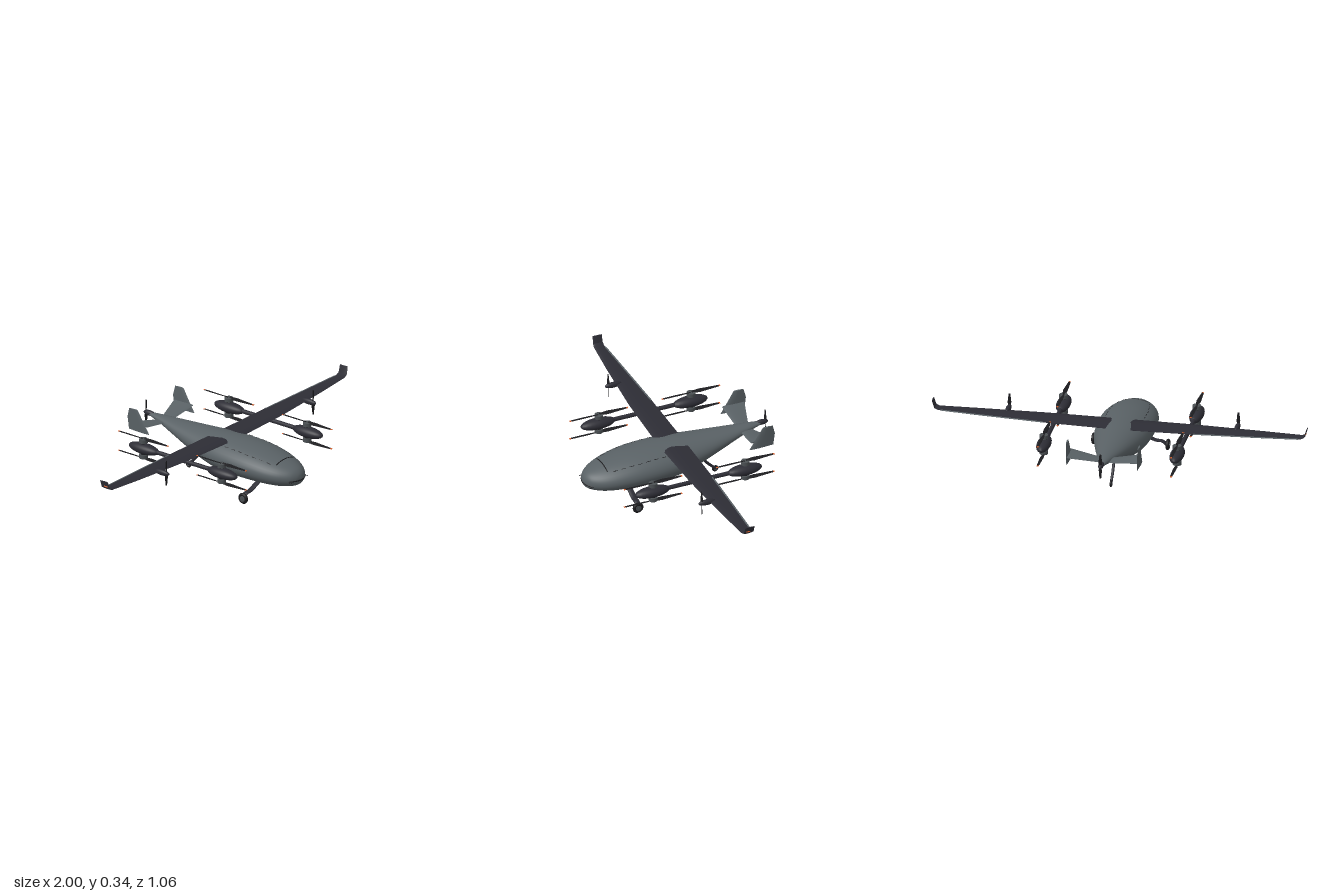
import * as THREE from 'three';
import { toCreasedNormals } from 'three/addons/utils/BufferGeometryUtils.js';

const V = (x, y, z) => new THREE.Vector3(x, y, z);
const mat = (name, color) => {
  const m = new THREE.MeshStandardMaterial({ color });
  m.name = name;
  return m;
};

// Closed skin over equal-sized rings of points, always facing outward
function loft(rings, crease) {
  const n = rings[0].length, pos = [], idx = [];
  rings.forEach((r) => r.forEach((p) => pos.push(p.x, p.y, p.z)));
  for (let i = 0; i < rings.length - 1; i++) {
    for (let j = 0; j < n; j++) {
      const a = i * n + j, b = i * n + ((j + 1) % n);
      idx.push(a, b, a + n, b, b + n, a + n);
    }
  }
  const last = (rings.length - 1) * n;
  for (let j = 1; j < n - 1; j++) idx.push(0, j + 1, j, last, last + j, last + j + 1);
  let vol = 0;
  const at = (i) => V(pos[i * 3], pos[i * 3 + 1], pos[i * 3 + 2]);
  for (let i = 0; i < idx.length; i += 3) vol += at(idx[i]).dot(at(idx[i + 1]).cross(at(idx[i + 2])));
  if (vol < 0) idx.reverse();
  const g = new THREE.BufferGeometry();
  g.setAttribute('position', new THREE.Float32BufferAttribute(pos, 3));
  g.setIndex(idx);
  g.computeVertexNormals();
  return crease ? toCreasedNormals(g, crease) : g;
}

// Aerofoil ring between leading and trailing edge, thickened along normal
const FOIL = [[0, 0], [0.06, 0.55], [0.2, 0.9], [0.4, 1], [0.7, 0.6], [1, 0.08], [1, -0.08], [0.7, -0.6], [0.4, -1], [0.2, -0.9], [0.06, -0.55]];
const foil = (le, te, normal, th) =>
  FOIL.map(([u, t]) => le.clone().lerp(te, u).addScaledVector(normal, t * th));

// Fuselage stations: z, top, bottom, half width
const STATIONS = [
  [0.528, 0.146, 0.134, 0.008], [0.52, 0.168, 0.112, 0.035], [0.5, 0.188, 0.097, 0.066], [0.45, 0.21, 0.084, 0.104],
  [0.38, 0.23, 0.077, 0.132], [0.28, 0.25, 0.073, 0.15], [0.18, 0.26, 0.072, 0.154], [0.08, 0.264, 0.074, 0.149],
  [0, 0.264, 0.081, 0.138], [-0.1, 0.26, 0.105, 0.115], [-0.2, 0.256, 0.139, 0.09], [-0.3, 0.253, 0.174, 0.063],
  [-0.4, 0.251, 0.207, 0.035], [-0.49, 0.247, 0.23, 0.012],
];
function sampleBody(z) {
  const i = Math.max(0, STATIONS.findIndex((s) => s[0] <= z) - 1);
  const a = STATIONS[i], b = STATIONS[i + 1], t = (z - a[0]) / (b[0] - a[0]);
  return a.map((v, k) => v + (b[k] - v) * t);
}
function bodyY(x, z, side = 1) {
  const [, top, bot, hw] = sampleBody(z);
  return (top + bot) / 2 + side * ((top - bot) / 2) * Math.sqrt(Math.max(0, 1 - (x / hw) ** 2));
}

export function createModel() {
  const model = new THREE.Group();
  const body = mat('body grey', 0x596165);
  const dark = mat('wing charcoal', 0x2d2d35);
  const black = mat('blade black', 0x1c1c1f);
  const metal = mat('motor grey', 0x4b5053);
  const orange = mat('marker orange', 0xd8602c);

  const add = (name, geo, material, p = [0, 0, 0], parent = model) => {
    const m = new THREE.Mesh(geo, material);
    m.name = name;
    m.position.set(...p);
    parent.add(m);
    return m;
  };
  const ball = (name, rx, ry, rz, material, p, parent) =>
    add(name, new THREE.SphereGeometry(1, 24, 16).scale(rx, ry, rz), material, p, parent);
  const tube = (name, pts, r, material, p, squash = 1) =>
    add(name, new THREE.TubeGeometry(new THREE.CatmullRomCurve3(pts), 24, r, 8).scale(1, 1, squash), material, p);

  // Fuselage
  const top = new THREE.CatmullRomCurve3(STATIONS.map((s) => V(s[0], s[1], s[2])));
  const wide = new THREE.CatmullRomCurve3(STATIONS.map((s) => V(s[0], s[3], 0)));
  const rings = [];
  for (let i = 0; i <= 65; i++) {
    const a = top.getPoint(i / 65), hw = wide.getPoint(i / 65).y;
    rings.push(Array.from({ length: 40 }, (_, j) => {
      const t = (j / 40) * Math.PI * 2;
      return V(hw * Math.cos(t), (a.y + a.z) / 2 + ((a.y - a.z) / 2) * Math.sin(t), a.x);
    }));
  }
  add('fuselage', loft(rings), body);

  // Hatch seams and nose slit
  const seam = [];
  for (let i = 0; i <= 10; i++) {
    const x = -0.07 + i * 0.014;
    seam.push(V(x, bodyY(x, 0.415), 0.415));
  }
  tube('hatchFrontSeam', seam, 0.003, black);
  for (const s of [-1, 1]) {
    for (let i = 0; i < 8; i++) {
      const pts = [0, 0.5, 1].map((t) => {
        const z = 0.39 - i * 0.045 - t * 0.025, x = s * (0.08 + 0.022 * Math.min(1, (0.41 - z) / 0.15));
        return V(x, bodyY(x, z), z);
      });
      tube('hatchSideSeam', pts, 0.0018, black);
    }
    const pitot = add('pitotTube', new THREE.CylinderGeometry(0.002, 0.002, 0.035, 6), black, [s * 0.068, 0.13, 0.5]);
    pitot.rotation.x = Math.PI / 2;
  }
  tube('noseSlit', [V(-0.066, 0.133, 0.499), V(-0.035, 0.133, 0.518), V(0, 0.133, 0.527), V(0.035, 0.133, 0.518), V(0.066, 0.133, 0.499)], 0.004, black);

  // Two-bladed propeller: blades along z, axis along y
  function propeller(name, radius, chord, tips) {
    const g = new THREE.Group();
    g.name = name;
    for (const s of [-1, 1]) {
      const section = (t) => {
        const c = chord * (t < 0.3 ? 0.55 + t * 1.5 : 1 - (t - 0.3) * 0.75) / 2, a = 0.4 * (1 - t) + 0.06;
        const dir = V(s * Math.cos(a), Math.sin(a), 0), mid = V(0, 0, s * t * radius);
        return foil(mid.clone().addScaledVector(dir, c), mid.clone().addScaledVector(dir, -c),
          V(-s * Math.sin(a), Math.cos(a), 0), chord * 0.1);
      };
      const end = tips ? 0.95 : 1;
      add('blade', loft([0.03, 0.15, 0.3, 0.5, 0.75, end].map(section), 0.6), black, [0, 0, 0], g);
      if (tips) add('bladeTip', loft([0.95, 1].map(section), 0.6), orange, [0, 0, 0], g);
    }
    model.add(g);
    return g;
  }

  const up = V(0, 1, 0);
  for (const s of [-1, 1]) {
    // Wing with winglet: x, y, leading z, trailing z, half thickness, sideways lean
    const wing = [
      [0.05, 0.249, 0.094, -0.046, 0.009, 0], [0.4, 0.253, 0.085, -0.042, 0.008, 0], [0.75, 0.259, 0.06, -0.029, 0.006, 0],
      [0.965, 0.264, 0.04, -0.018, 0.004, 0], [0.984, 0.273, 0.037, -0.018, 0.0035, 0.8], [0.997, 0.314, 0.034, -0.018, 0.0025, 1.3],
    ];
    add('wing', loft(wing.map(([x, y, a, b, th, lean]) =>
      foil(V(s * x, y, a), V(s * x, y, b), V(-s * Math.sin(lean), Math.cos(lean), 0), th)), 0.7), dark);
    const aileron = [[0.4, 0.253, -0.034], [0.75, 0.259, -0.021], [0.95, 0.2635, -0.012]];
    add('aileron', loft(aileron.map(([x, y, z]) =>
      foil(V(s * x, y, z), V(s * x, y, z - 0.01), up, 0.003)), 0.7), body);
    ball('wingtipLight', 0.003, 0.004, 0.014, orange, [s * 0.99, 0.284, 0.014]);

    // Lift boom with two pods, each carrying an upper and a lower rotor
    const boom = add('liftBoom', new THREE.CylinderGeometry(0.0115, 0.0115, 0.46, 16), dark, [s * 0.355, 0.223, 0.02]);
    boom.rotation.x = Math.PI / 2;
    for (const z of [0.28, -0.246]) {
      ball('liftPod', 0.037, 0.029, 0.098, dark, [s * 0.355, 0.222, z + 0.004]);
      for (const v of [-1, 1]) {
        const y = 0.2225 + v * 0.0435;
        add('liftMotor', new THREE.CylinderGeometry(0.023, 0.023, 0.021, 24), metal, [s * 0.355, y, z]);
        add('motorMount', new THREE.CylinderGeometry(0.014, 0.014, 0.03, 16), black, [s * 0.355, y - v * 0.012, z]);
        propeller('liftRotor', 0.166, 0.024, true).position.set(s * 0.355, 0.2225 + v * 0.0545, z);
      }
    }

    // Wing-mounted tractor propeller
    ball('propNacelle', 0.014, 0.016, 0.048, dark, [s * 0.61, 0.258, 0.085]);
    const prop = propeller('wingPropeller', 0.069, 0.02, false);
    prop.position.set(s * 0.61, 0.261, 0.114);
    prop.rotation.x = Math.PI / 2;

    // Tailplane and fin
    const tail = [[0.01, 0.226, -0.355, -0.43], [0.045, 0.231, -0.36, -0.435], [0.188, 0.258, -0.335, -0.478]];
    tail[2][2] = -0.35;
    add('tailplane', loft(tail.map(([x, y, a, b]) => foil(V(s * x, y, a), V(s * x, y, b), up, 0.005)), 0.7), body);
    const fin = [[0.188, 0.217, -0.342, -0.478], [0.189, 0.285, -0.385, -0.487], [0.191, 0.337, -0.417, -0.474]];
    add('tailFin', loft(fin.map(([x, y, a, b]) => foil(V(s * x, y, a), V(s * x, y, b), V(1, 0, 0), 0.005)), 0.7), body);

    // Main landing leg
    tube('mainLeg', [V(s * 0.05, 0.09, 0), V(s * 0.09, 0.072, 0), V(s * 0.135, 0.053, 0), V(s * 0.17, 0.05, 0), V(s * 0.19, 0.035, 0)],
      0.006, dark, [0, 0, 0.292], 2.7);
  }

  // Wheels
  function wheel(name, x, y, z, r) {
    const g = new THREE.Group();
    g.name = name;
    g.position.set(x, y, z);
    g.rotation.y = Math.PI / 2;
    add('tyre', new THREE.TorusGeometry(r * 0.7, r * 0.3, 12, 32), black, [0, 0, 0], g);
    add('wheelHub', new THREE.CylinderGeometry(r * 0.52, r * 0.52, r * 0.5, 24).rotateX(Math.PI / 2), metal, [0, 0, 0], g);
    model.add(g);
  }
  for (const s of [-1, 1]) {
    wheel('mainWheel', s * 0.198, 0.031, 0.297, 0.03);
    add('axle', new THREE.CylinderGeometry(0.005, 0.005, 0.03, 10).rotateZ(Math.PI / 2), metal, [s * 0.195, 0.031, 0.297]);
  }
  tube('tailLeg', [V(0, 0.14, -0.148), V(0, 0.1, -0.16), V(0, 0.065, -0.185), V(0, 0.035, -0.215), V(0, 0.02, -0.229)], 0.0075, dark);
  wheel('tailWheel', 0, 0.02, -0.229, 0.018);

  // Pusher propeller at the tail
  ball('tailSpinner', 0.014, 0.015, 0.036, dark, [0, 0.24, -0.494]);
  const pusher = propeller('pusherPropeller', 0.068, 0.02, false);
  pusher.position.set(0, 0.242, -0.515);
  pusher.rotation.x = Math.PI / 2;

  return model;
}
